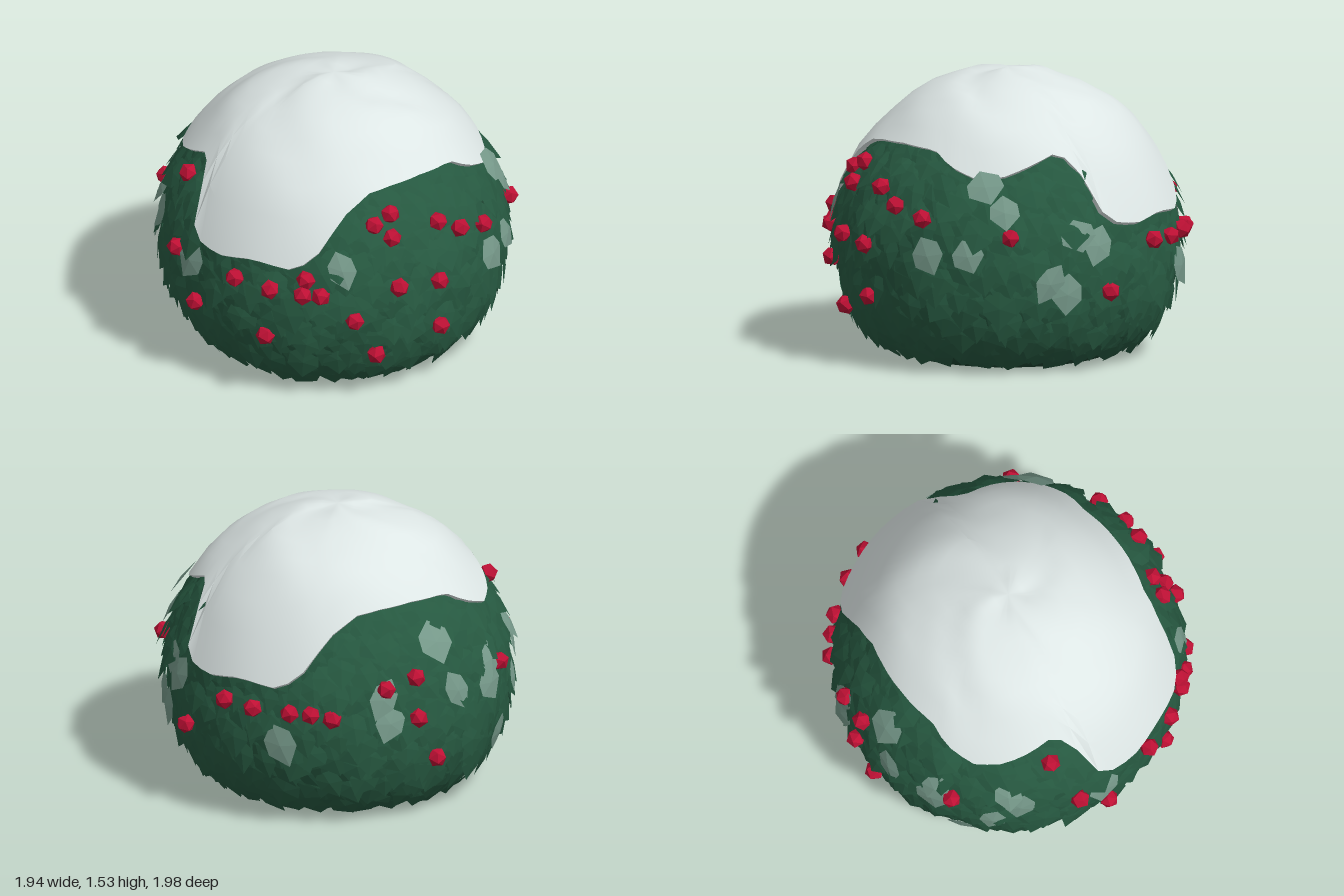
import * as THREE from 'three';
import { toCreasedNormals } from 'three/addons/utils/BufferGeometryUtils.js';

const mat = (name, color, opts = {}) => {
  const m = new THREE.MeshStandardMaterial({ color, ...opts });
  m.name = name;
  return m;
};

let seed = 7;
const rand = () => (seed = (seed * 16807) % 2147483647) / 2147483647;
const between = (a, b) => a + (b - a) * rand();

// linear lookup in [[key, value], ...] sorted by key
const lookup = (table, k) => {
  let i = 1;
  while (i < table.length - 1 && table[i][0] < k) i++;
  const [k0, v0] = table[i - 1], [k1, v1] = table[i];
  return v0 + (v1 - v0) * Math.min(1, Math.max(0, (k - k0) / (k1 - k0)));
};

// [height, radius] of the bush
const bush = [[0, 0.55], [0.06, 0.69], [0.2, 0.8], [0.4, 0.87], [0.6, 0.89], [0.8, 0.87],
  [1, 0.8], [1.17, 0.68], [1.3, 0.5], [1.41, 0.25], [1.45, 0]];

// [azimuth, height] of the snow rim, repeating every half turn
const rim = [[0, 1.06], [12, 1.12], [21, 1.19], [40, 1.2], [55, 1.19], [66, 1.17], [76, 1.08],
  [82, 0.97], [87, 0.86], [95, 0.81], [108, 0.83], [120, 0.8], [128, 0.81], [134, 0.84],
  [138, 1], [142, 1.15], [150, 1.18], [160, 1.13], [170, 1.08], [180, 1.06]];
const rimHeight = (deg) => lookup(rim, ((deg % 180) + 180) % 180);

// [azimuth, height] of berries and of frosted leaves
const berries = [[186, 0.77], [151, 1.06], [143, 0.7], [114, 0.7], [101, 0.68], [89, 0.76],
  [90, 0.67], [84, 0.67], [132, 0.45], [103, 0.39], [73, 0.52], [65, 0.28], [65, 1.03],
  [58, 1.07], [59, 0.96], [58, 0.69], [40, 0.98], [43, 0.67], [42, 0.39], [31, 0.9],
  [19, 0.85], [348, 0.77], [262, 0.68], [269, 0.68], [282, 0.68], [293, 0.69], [255, 0.66],
  [226, 0.85], [237, 0.81], [226, 0.63], [218, 0.37], [313, 0.45]];
const frosted = [[77, 0.8], [163, 0.75], [134, 0.68], [357, 1.0], [350, 0.88], [318, 0.7],
  [325, 0.76], [335, 0.52], [329, 0.46], [16, 0.65], [2, 0.66], [238, 0.75], [236, 0.62],
  [272, 0.5], [192, 0.8], [193, 0.68], [210, 0.72], [216, 0.98], [167, 0.85], [183, 0.36],
  [172, 0.6]];

const onBush = (deg, y, out = 0) => {
  const a = THREE.MathUtils.degToRad(deg), r = lookup(bush, y) + out;
  return new THREE.Vector3(r * Math.cos(a), y, r * Math.sin(a));
};

// one folded pointed leaf, appended as triangles
const outline = [[-0.5, 0], [-0.22, 0.42], [0.12, 0.46], [0.5, 0], [0.12, -0.46], [-0.22, -0.42]];
function addLeaf(out, deg, y, len, wid, lift, tilt, spin) {
  const p = onBush(deg, y);
  const down = onBush(deg, y - 0.04).sub(onBush(deg, y + 0.04)).normalize();
  const a = THREE.MathUtils.degToRad(deg);
  const side = new THREE.Vector3(-Math.sin(a), 0, Math.cos(a));
  const normal = side.clone().cross(down).normalize();
  if (normal.dot(new THREE.Vector3(p.x, 0, p.z)) < 0) normal.negate();
  const c = Math.cos(spin), s = Math.sin(spin);
  const place = ([u, w], ridge) => {
    const U = u * len, W = w * wid;
    const q = p.clone().addScaledVector(down, U * c - W * s).addScaledVector(side, U * s + W * c)
      .addScaledVector(normal, lift + tilt * (U + len / 2) + ridge);
    q.y = Math.max(q.y, 0.005);
    return q.toArray();
  };
  const mid = place([0, 0], 0.012);
  outline.forEach((o, i) => out.push(...mid, ...place(outline[(i + 1) % 6], 0), ...place(o, 0)));
}

function meshFrom(name, positions, material, index) {
  const g = new THREE.BufferGeometry();
  g.setAttribute('position', new THREE.Float32BufferAttribute(positions, 3));
  if (index) g.setIndex(index);
  g.computeVertexNormals();
  const m = new THREE.Mesh(g, material);
  m.name = name;
  return m;
}

// snow dome sampled from the apex down to the wavy rim, with a lip turned under
function snowCap(material) {
  const curve = [[0, 1.53], [0.2, 1.51], [0.4, 1.445], [0.55, 1.36], [0.68, 1.245], [0.78, 1.12],
    [0.86, 0.98], [0.91, 0.87], [0.935, 0.79]];
  const heightToRadius = curve.map(([r, y]) => [y, r]).reverse();
  const rings = 9, segs = 72, pos = [], index = [];
  for (let i = 0; i <= rings + 2; i++) {
    for (let j = 0; j < segs; j++) {
      const deg = (j * 360) / segs, a = THREE.MathUtils.degToRad(deg);
      const yEdge = rimHeight(deg), rEdge = lookup(heightToRadius, yEdge);
      let r = rEdge * Math.min(1, i / rings);
      let y = lookup(curve, r);
      if (i >= rings) y = yEdge;
      if (i > 0 && i < rings) y += 0.008 * Math.sin(3 * a + i) + 0.006 * Math.sin(7 * a + 2 * i) * (i / rings);
      if (i === rings + 1) { r -= 0.025; y -= 0.015; }
      if (i === rings + 2) { r -= 0.12; y += 0.02; }
      pos.push(r * Math.cos(a), y, r * Math.sin(a));
    }
  }
  for (let i = 0; i < rings + 2; i++) {
    for (let j = 0; j < segs; j++) {
      const k = (j + 1) % segs;
      const p = i * segs + j, q = i * segs + k, s = p + segs, t = q + segs;
      if (i > 0) index.push(p, q, s);
      index.push(q, t, s);
    }
  }
  const mesh = meshFrom('snowCap', pos, material, index);
  mesh.geometry = toCreasedNormals(mesh.geometry, 0.5);
  return mesh;
}

export function createModel() {
  const group = new THREE.Group();
  const core = mat('dark green', 0x1f4733);
  const green = mat('leaf green', 0x265840, { flatShading: true, side: THREE.DoubleSide });
  const frost = mat('frosted green', 0x76998a, { flatShading: true, side: THREE.DoubleSide });
  const red = mat('berry red', 0xbe1034, { flatShading: true });
  const white = mat('snow white', 0xdde6e5, { side: THREE.DoubleSide });

  // solid bush under the leaves
  const profile = [[0, 0], ...bush].map(([y, r], i) => new THREE.Vector2(i ? r : 0, y));
  const body = new THREE.Mesh(new THREE.LatheGeometry(profile, 40), core);
  body.name = 'bushBody';
  group.add(body);

  // shingled leaves spread by the golden angle
  const leaves = [], count = 760;
  for (let i = 0; i < count; i++) {
    const deg = (i * 137.508) % 360, y = 0.07 + (1.16 * i) / count;
    const len = between(0.17, 0.24), wid = between(0.14, 0.2);
    const tilt = between(0.04, 0.3) * Math.min(1, y / 0.35), spin = between(-0.6, 0.6);
    if (y > rimHeight(deg) + 0.03) continue;
    addLeaf(leaves, deg, y, len, wid, between(0.004, 0.016), y > rimHeight(deg) - 0.08 ? 0.05 : tilt, spin);
  }
  group.add(meshFrom('leaves', leaves, green));

  // frosted leaves standing slightly proud
  const pale = [];
  for (const [deg, y] of frosted) {
    addLeaf(pale, deg, y, between(0.18, 0.25), between(0.15, 0.22), 0.04, between(0.08, 0.2), between(-0.6, 0.6));
  }
  group.add(meshFrom('frostedLeaves', pale, frost));

  // berries
  const berryGeometry = new THREE.IcosahedronGeometry(0.054, 0);
  const berryGroup = new THREE.Group();
  berryGroup.name = 'berries';
  for (const [deg, y] of berries) {
    const b = new THREE.Mesh(berryGeometry, red);
    b.name = 'berry';
    b.position.copy(onBush(deg, y, 0.06));
    b.rotation.set(between(0, 6), between(0, 6), 0);
    berryGroup.add(b);
  }
  group.add(berryGroup);

  group.add(snowCap(white));
  return group;
}
